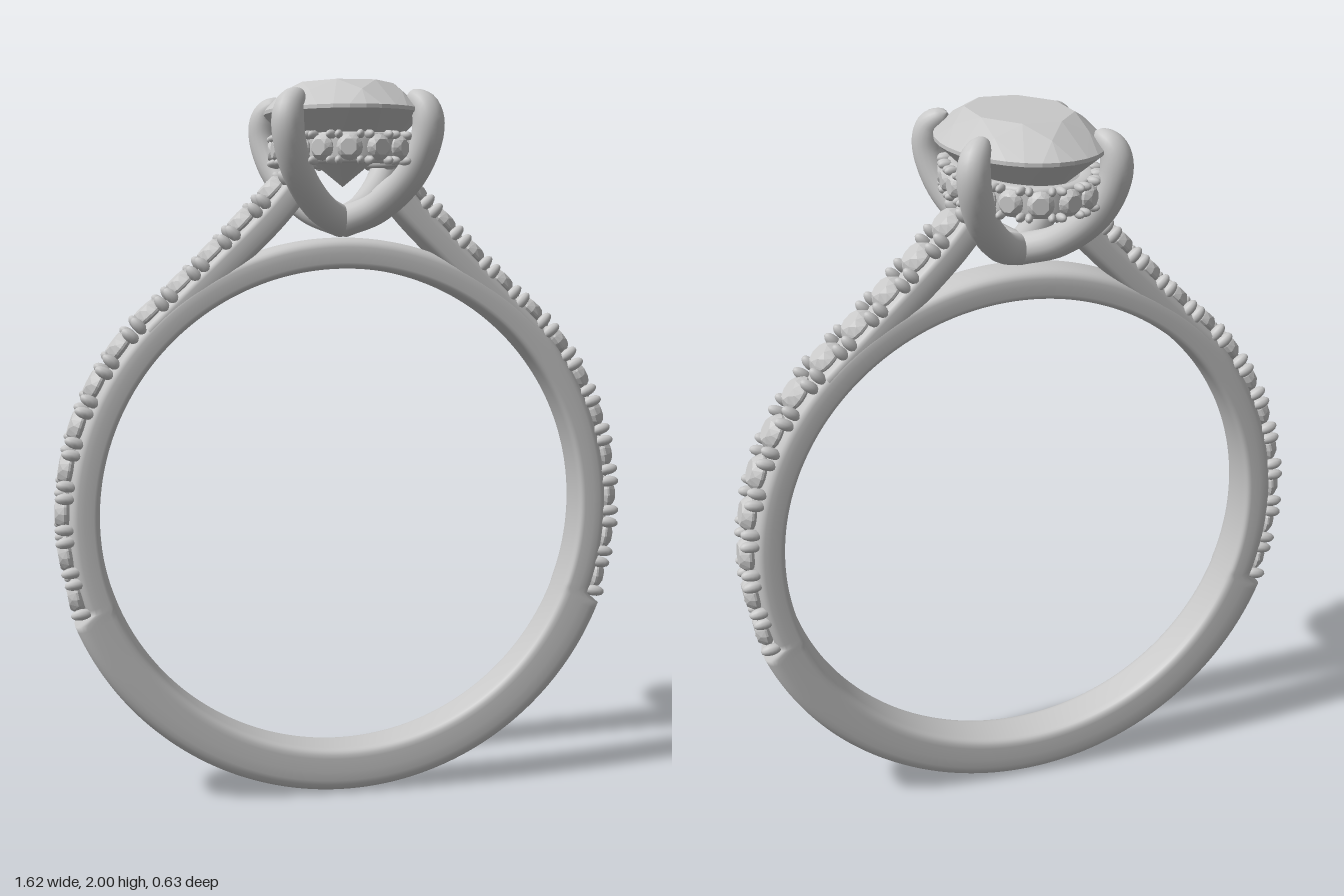
import * as THREE from 'three';
import { mergeGeometries } from 'three/addons/utils/BufferGeometryUtils.js';
import { ConvexGeometry } from 'three/addons/geometries/ConvexGeometry.js';

const V = (x, y, z) => new THREE.Vector3(x, y, z);
const silverGrey = new THREE.MeshStandardMaterial({ color: 0xc8c8c8 });
silverGrey.name = 'silverGrey';

const CY = 0.815; // height of the band's centre

function mesh(name, geometry) {
  const m = new THREE.Mesh(geometry, silverGrey);
  m.name = name;
  return m;
}

// Frame on a planar curve: tangent, outward normal, fixed binormal
function frameAt(curve, t, B) {
  const T = curve.getTangentAt(t);
  return { P: curve.getPointAt(t), T, N: B.clone().cross(T).normalize(), B };
}

// Sweep a section, given as [normal, binormal] pairs at t, along a planar curve
function sweep(curve, B, steps, section, closed = false) {
  const pos = [], idx = [];
  const n = section(0).length;
  for (let i = 0; i <= steps; i++) {
    const t = i / steps;
    const f = frameAt(curve, t, B);
    for (const [u, v] of section(t)) {
      const p = f.P.clone().addScaledVector(f.N, u).addScaledVector(f.B, v);
      pos.push(p.x, p.y, p.z);
    }
  }
  for (let i = 0; i < steps; i++) {
    const next = closed && i === steps - 1 ? 0 : i + 1;
    for (let j = 0; j < n; j++) {
      const k = (j + 1) % n;
      const a = i * n + j, b = i * n + k, c = next * n + k, d = next * n + j;
      idx.push(a, b, c, a, c, d);
    }
  }
  if (!closed) {
    for (const end of [0, steps]) {
      const base = pos.length / 3, c = curve.getPointAt(end / steps);
      pos.push(...pos.slice(end * n * 3, (end + 1) * n * 3), c.x, c.y, c.z);
      for (let j = 0; j < n; j++) {
        const k = (j + 1) % n;
        if (end) idx.push(base + n, base + j, base + k);
        else idx.push(base + n, base + k, base + j);
      }
    }
  }
  const g = new THREE.BufferGeometry();
  g.setAttribute('position', new THREE.Float32BufferAttribute(pos, 3));
  g.setIndex(idx);
  g.computeVertexNormals();
  return g;
}

// Rounded section between lo and hi along the normal; exponents square the corners
function rounded(lo, hi, half, inner = 0.5, outer = 0.5, n = 28) {
  const pow = (x, e) => Math.sign(x) * Math.abs(x) ** e;
  return Array.from({ length: n }, (_, j) => {
    const a = (j / n) * Math.PI * 2, c = Math.cos(a), e = c < 0 ? inner : outer;
    return [(lo + hi) / 2 + ((hi - lo) / 2) * pow(c, e), half * pow(Math.sin(a), e)];
  });
}

// Brilliant-cut stone with its girdle at y = 0
function gemGeometry(rx, rz, crown, pavilion, girdle, sides) {
  const pts = [V(0, -pavilion, 0)];
  const ring = (s, y, n, offset) => {
    for (let i = 0; i < n; i++) {
      const a = ((i + offset) / n) * Math.PI * 2;
      pts.push(V(rx * s * Math.cos(a), y, rz * s * Math.sin(a)));
    }
  };
  ring(0.63, crown, 8, 0.5);
  ring(0.82, crown * 0.58, 8, 0);
  ring(1, 0, sides, 0);
  ring(1, -girdle, sides, 0);
  ring(0.6, -pavilion * 0.48, 8, 0.5);
  return new ConvexGeometry(pts);
}

// Small stone held by four beads
const smallGem = gemGeometry(0.052, 0.052, 0.024, 0.05, 0.006, 16);
smallGem.translate(0, 0.012, 0);
const beads = mergeGeometries([-1, 1].flatMap((sx) => [-1, 1].map((sz) =>
  new THREE.SphereGeometry(1, 10, 8).scale(0.016, 0.03, 0.018)
    .translate(sx * 0.043, 0.008, sz * 0.05))));

function setStone(name, f, scale) {
  const g = new THREE.Group();
  g.name = name;
  g.add(mesh('smallStone', smallGem), mesh('beads', beads));
  g.applyMatrix4(new THREE.Matrix4().makeBasis(f.T, f.N, f.B).setPosition(f.P));
  g.scale.setScalar(scale);
  return g;
}

class Ellipse3 extends THREE.Curve {
  constructor(plane, a, b, height) {
    super();
    Object.assign(this, { plane, a, b, height });
    this.arcLengthDivisions = 800;
  }
  getPoint(t) {
    const c = this.a * Math.cos(t * Math.PI * 2), s = this.b * Math.sin(t * Math.PI * 2);
    return this.plane === 'xy' ? V(c, this.height + s, 0) : V(c, this.height, s);
  }
}

function shoulder() {
  const g = new THREE.Group();
  g.name = 'shoulder';
  const B = V(0, 0, -1);
  // Arm rising from the band to the head
  const arm = new THREE.CatmullRomCurve3([
    V(0.53, 1.32, 0), V(0.42, 1.425, 0), V(0.3, 1.54, 0), V(0.2, 1.64, 0), V(0.12, 1.735, 0)]);
  g.add(mesh('shoulderArm', sweep(arm, B, 30, () => rounded(-0.038, 0.04, 0.068))));
  // Row of stones
  const onBand = [-16, -4, 8, 20, 32, 43, 52].map((d) => {
    const a = THREE.MathUtils.degToRad(d);
    return V(0.77 * Math.cos(a), CY + 0.77 * Math.sin(a), 0);
  });
  const row = new THREE.CatmullRomCurve3([
    ...onBand, V(0.37, 1.522, 0), V(0.28, 1.613, 0), V(0.19, 1.705, 0)]);
  for (let i = 0; i < 12; i++) g.add(setStone('shoulderStone', frameAt(row, i / 11, B), 1));
  return g;
}

function prong(sx, sz) {
  const path = new THREE.CatmullRomCurve3([
    [0, 1.627, 0], [0.08, 1.668, 0.09], [0.155, 1.76, 0.18], [0.187, 1.865, 0.217],
    [0.182, 1.925, 0.21], [0.145, 1.968, 0.172],
  ].map(([x, y, z]) => V(sx * x, y, sz * z)));
  // Constant side direction, perpendicular to the prong's vertical plane
  const B = V(-sz * 0.217, 0, sx * 0.187).normalize();
  return mesh('prong', sweep(path, B, 48, (t) => {
    const k = Math.max(0, (t - 0.78) / 0.22);
    const r = 0.043 * Math.sqrt(Math.max(0, 1 - k * k));
    return rounded(-r, r, r, 1, 1, 18);
  }));
}

export function createModel() {
  const model = new THREE.Group();
  model.name = 'ring';

  // Band: full thickness below, thinner under the stones and along the bridge
  const circle = new Ellipse3('xy', 0.735, 0.735, CY);
  const notch = Math.sin(THREE.MathUtils.degToRad(-21));
  model.add(mesh('band', sweep(circle, V(0, 0, -1), 288, (t) => {
    const outer = Math.sin(t * Math.PI * 2) < notch ? 0.08 : 0.035;
    return rounded(-0.05, outer, 0.07, 0.35, 0.6);
  }, true)));

  // Mirrored shoulders
  const leftShoulder = shoulder();
  const rightShoulder = shoulder();
  rightShoulder.scale.x = -1;
  model.add(leftShoulder, rightShoulder);

  // Gallery rail with its circle of small stones
  const head = new THREE.Group();
  head.name = 'head';
  const up = V(0, 1, 0);
  const rail = new Ellipse3('xz', 0.18, 0.29, 1.82);
  head.add(mesh('galleryRail', sweep(rail, up, 96, () => rounded(-0.04, 0, 0.04), true)));
  for (let i = 0; i < 20; i++) {
    head.add(setStone('galleryStone', frameAt(rail, (i + 0.5) / 20, up), 0.66));
  }

  // Four claws
  for (const sx of [-1, 1]) for (const sz of [-1, 1]) head.add(prong(sx, sz));

  // Oval centre stone
  const stone = mesh('centreStone', gemGeometry(0.215, 0.317, 0.072, 0.205, 0.01, 32));
  stone.position.y = 1.928;
  head.add(stone);
  model.add(head);
  return model;
}
